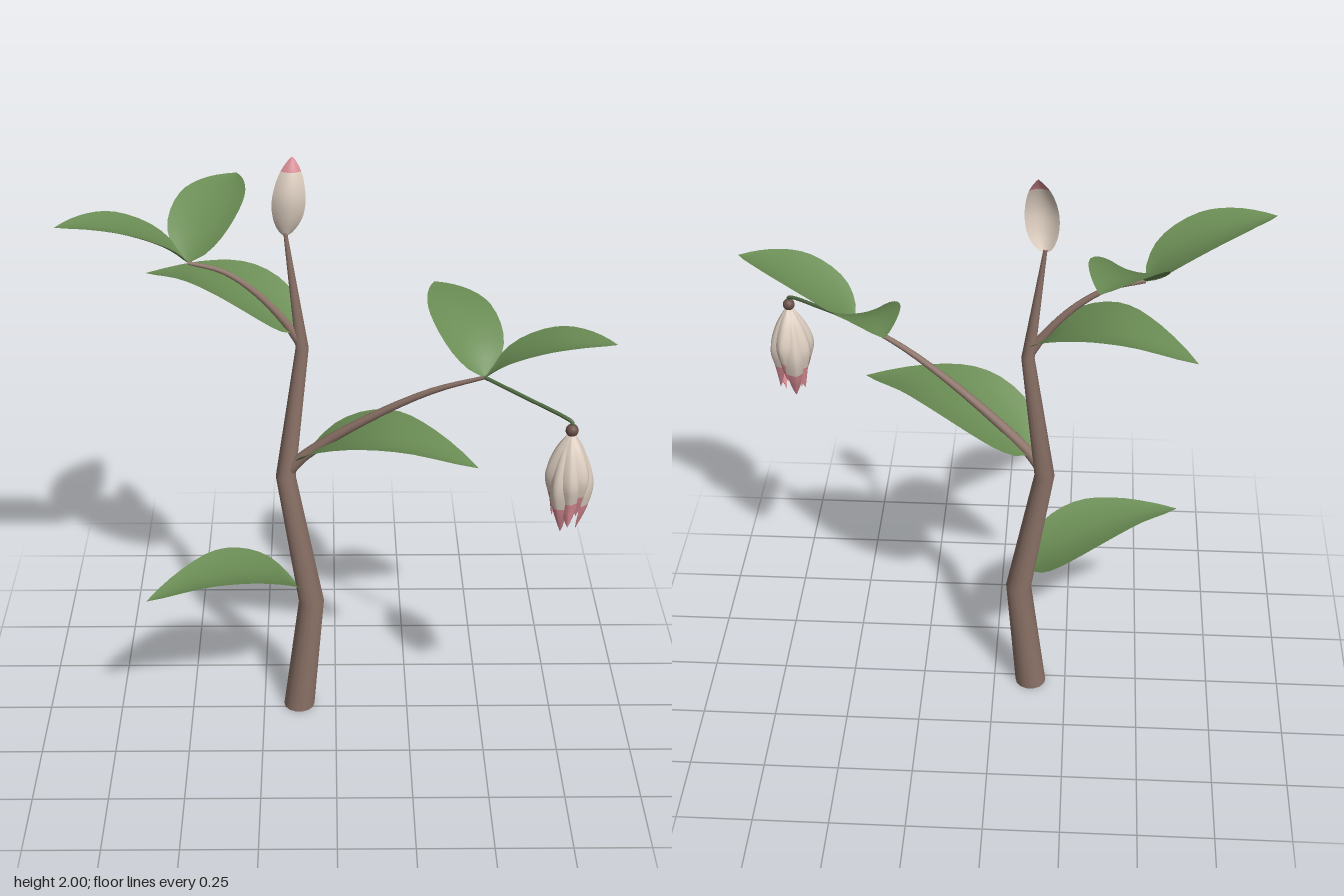
import * as THREE from 'three';

const V = (x, y, z) => new THREE.Vector3(x, y, z);
const mat = (name, color, side = THREE.FrontSide) => {
  const m = new THREE.MeshStandardMaterial({ color, side });
  m.name = name;
  return m;
};

// Grid of rows x columns turned into a smooth surface
function gridGeometry(rows, cols, point) {
  const pos = [], idx = [];
  for (let i = 0; i <= rows; i++)
    for (let j = 0; j <= cols; j++) pos.push(...point(i / rows, j / cols).toArray());
  for (let i = 0; i < rows; i++)
    for (let j = 0; j < cols; j++) {
      const a = i * (cols + 1) + j, b = a + cols + 1;
      idx.push(a, a + 1, b, a + 1, b + 1, b);
    }
  const g = new THREE.BufferGeometry();
  g.setAttribute('position', new THREE.Float32BufferAttribute(pos, 3));
  g.setIndex(idx);
  g.computeVertexNormals();
  return g;
}

// Curved blade: a centre line widened sideways, its edges lifted towards `up`
function blade(center, side, up, halfWidth, cup, power, t0, t1) {
  return gridGeometry(14, 8, (u, v) => {
    const t = t0 + (t1 - t0) * u, s = v * 2 - 1, w = halfWidth(t);
    return center(t).addScaledVector(side, s * w)
      .addScaledVector(up(t), cup * w * Math.abs(s) ** power);
  });
}

// Tapered stem through points with a radius at each one: [x, y, z, r]
function stem(points, sides = 14) {
  const p = points.map(q => V(q[0], q[1], q[2]));
  return gridGeometry(points.length - 1, sides, (u, v) => {
    const i = Math.round(u * (points.length - 1)), a = v * Math.PI * 2;
    const dir = p[Math.min(i + 1, p.length - 1)].clone().sub(p[Math.max(i - 1, 0)]).normalize();
    if (i === 0 && dir.y > 0.9) dir.set(0, 1, 0);
    const q = new THREE.Quaternion().setFromUnitVectors(V(0, 1, 0), dir);
    return V(Math.cos(a), 0, -Math.sin(a)).multiplyScalar(points[i][3]).applyQuaternion(q).add(p[i]);
  });
}

// Smooth tapered branch along a curve
function branch(points, r0, r1, steps = 16) {
  const curve = new THREE.CatmullRomCurve3(points.map(q => V(...q)));
  return stem(Array.from({ length: steps + 1 }, (_, i) => {
    const t = i / steps;
    return [...curve.getPoint(t).toArray(), r0 + (r1 - r0) * t];
  }), 10);
}

const ARCHED = [[0, 0], [0.15, 0.12], [0.4, 0.22], [0.65, 0.24], [1, 0.185]];
const RISING = [[0, 0], [0.2, 0.18], [0.5, 0.33], [0.75, 0.39], [1, 0.41]];

// Leaf from its base to the tip's x and z, following a profile of rise over length
function leafGeometry(base, tipX, tipZ, width, profile) {
  const run = V(tipX - base[0], 0, tipZ - base[2]);
  const len = run.length();
  run.normalize();
  const side = V(run.z, 0, -run.x);
  const curve = new THREE.CatmullRomCurve3(
    profile.map(([h, r]) => V(...base).addScaledVector(run, h * len).setY(base[1] + r * len)));
  const up = t => {
    const n = curve.getTangent(t).cross(side);
    return n.y < 0 ? n.negate() : n;
  };
  const half = t => width * Math.max(0, Math.sin(Math.PI * t ** 0.8)) ** 0.85 + 0.003 * (1 - t);
  return blade(t => curve.getPoint(t), side, up, half, 0.2, 2, 0, 1);
}

export function createModel() {
  const plant = new THREE.Group();
  plant.name = 'floweringBranch';
  const bark = mat('bark', 0x8a7166);
  const green = mat('leafGreen', 0x6a8c54, THREE.DoubleSide);
  const stalkGreen = mat('stalkGreen', 0x506a42);
  const cream = mat('petalCream', 0xdccdbf, THREE.DoubleSide);
  const pink = mat('petalPink', 0xd58a92, THREE.DoubleSide);
  const brown = mat('flowerBaseBrown', 0x6b5048);
  const add = (name, geometry, material, parent = plant) => {
    const m = new THREE.Mesh(geometry, material);
    m.name = name;
    parent.add(m);
    return m;
  };

  // Zigzag main stem with a closed foot
  add('mainStem', stem([
    [-0.128, 0, -0.021, 0.053], [-0.083, 0.43, -0.024, 0.043], [-0.165, 0.91, -0.042, 0.033],
    [-0.107, 1.37, -0.06, 0.021], [-0.156, 1.76, -0.068, 0.006]]), bark);
  add('stemFoot', new THREE.CircleGeometry(0.053, 14).rotateX(Math.PI / 2)
    .translate(-0.128, 0, -0.021), bark);

  // Side branches and the flower stalk
  add('upperBranch', branch([[-0.115, 1.39, -0.06], [-0.16, 1.46, -0.06], [-0.25, 1.56, -0.062],
    [-0.35, 1.63, -0.066], [-0.46, 1.66, -0.068]], 0.016, 0.006), bark);
  add('lowerBranch', branch([[-0.165, 0.92, -0.04], [-0.1, 1.0, -0.022], [0.1, 1.165, 0.04],
    [0.3, 1.295, 0.1], [0.46, 1.365, 0.145]], 0.022, 0.006), bark);
  add('flowerStalk', branch([[0.46, 1.365, 0.145], [0.585, 1.345, 0.252], [0.69, 1.327, 0.342],
    [0.709, 1.318, 0.356], [0.71, 1.29, 0.357]], 0.006, 0.006, 24), stalkGreen);

  // Leaves: base, tip x, tip z, half width, profile
  [
    ['lowLeaf', [-0.125, 0.49, -0.02], -0.62, 0.225, 0.125, ARCHED],
    ['middleLeaf', [-0.115, 0.98, -0.03], 0.445, 0.24, 0.155, ARCHED],
    ['highLeaf', [-0.13, 1.42, -0.06], -0.62, -0.31, 0.135, ARCHED],
    ['upperOuterLeaf', [-0.46, 1.66, -0.068], -0.85, 0.055, 0.105, RISING],
    ['upperBackLeaf', [-0.46, 1.66, -0.068], -0.32, -0.435, 0.11, RISING],
    ['lowerOuterLeaf', [0.46, 1.365, 0.145], 0.845, 0.26, 0.105, RISING],
    ['lowerBackLeaf', [0.46, 1.365, 0.145], 0.32, -0.225, 0.105, RISING],
  ].forEach(([name, ...spec]) => add(name, leafGeometry(...spec), green));

  // A petal is cream with a separate pink tip
  const addPetal = (name, split, parent, ...shape) => {
    add(name, blade(...shape, 0, split), cream, parent);
    add(name + 'Tip', blade(...shape, split, 1), pink, parent);
  };

  // Single bud petal at the top of the stem
  const budLine = new THREE.CatmullRomCurve3([[-0.156, 1.745, -0.068], [-0.148, 1.81, -0.047],
    [-0.143, 1.88, -0.04], [-0.137, 1.95, -0.058], [-0.132, 2, -0.087]].map(q => V(...q)));
  addPetal('budPetal', 0.78, plant, t => budLine.getPoint(t), V(1, 0, 0), () => V(0, 0, -1),
    t => 0.052 * Math.max(0, Math.sin(Math.PI * t ** 0.8)) ** 0.8, 0.5, 2);

  // Hanging flower of folded petals around a small brown base
  const flower = new THREE.Group();
  flower.name = 'hangingFlower';
  flower.position.set(0.71, 1.285, 0.357);
  plant.add(flower);
  add('flowerBase', new THREE.SphereGeometry(0.02, 14, 10).translate(0, 0.007, 0), brown, flower);
  const lengths = [0.335, 0.275, 0.305];
  for (let i = 0; i < 9; i++) {
    const a = i / 9 * Math.PI * 2 + 0.2, len = lengths[i % 3];
    const out = V(Math.cos(a), 0, Math.sin(a)), inward = out.clone().negate();
    const line = new THREE.CatmullRomCurve3(
      [[0.008, 0], [0.05, 0.22], [0.076, 0.5], [0.062, 0.75], [0.03 + 0.01 * (i % 3), 1]]
        .map(([r, d]) => out.clone().multiplyScalar(r).setY(-d * len)));
    addPetal('petal' + (i + 1), 0.72, flower, t => line.getPoint(t), V(-out.z, 0, out.x),
      () => inward, t => 0.038 * Math.max(0, Math.sin(Math.PI * t ** 0.9)) ** 0.8, 0.75, 1.4);
  }
  return plant;
}
